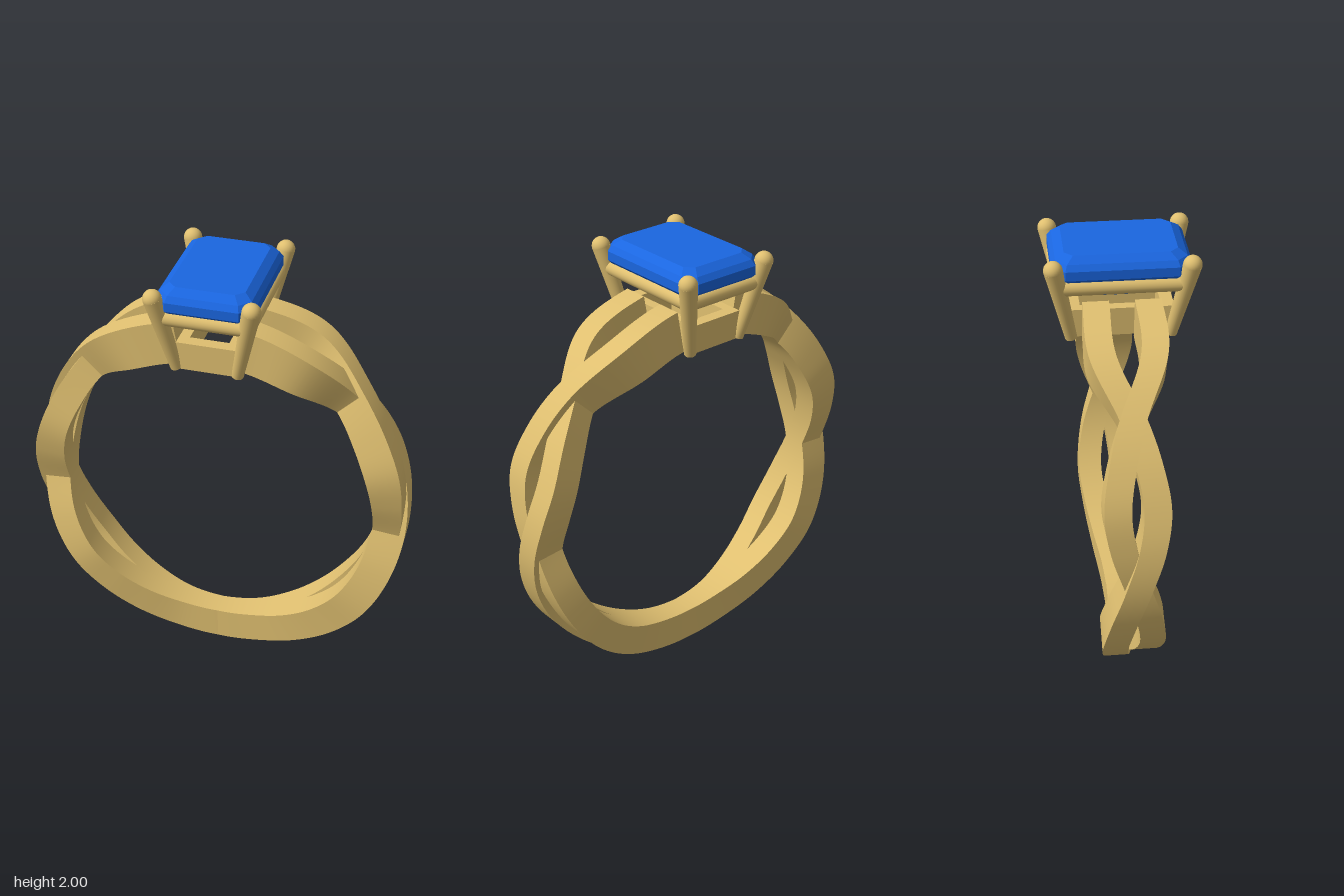
import * as THREE from 'three';
import { toCreasedNormals } from 'three/addons/utils/BufferGeometryUtils.js';
import { ConvexGeometry } from 'three/addons/geometries/ConvexGeometry.js';

const gold = new THREE.MeshStandardMaterial({ color: 0xdfbf70 });
const blue = new THREE.MeshStandardMaterial({ color: 0x1a66e0 });

function add(parent, name, geometry, material = gold) {
  const mesh = new THREE.Mesh(geometry, material);
  mesh.name = name;
  parent.add(mesh);
  return mesh;
}

// Half-band stations from shoulder to bottom:
// angle (deg), side offset, inner radius, outer radius, dip of first strand, dip of second strand
const stations = [
  [80, 0.11, 0.74, 0.933, 0, 0],
  [62, 0.106, 0.745, 0.935, 0, -0.015],
  [45, 0, 0.75, 0.906, 0, -0.03],
  [32, -0.056, 0.735, 0.89, 0, -0.03],
  [20, -0.082, 0.728, 0.88, 0, -0.025],
  [8, -0.057, 0.722, 0.872, -0.015, -0.01],
  [-5, 0, 0.72, 0.868, -0.025, 0],
  [-19, 0.055, 0.718, 0.868, -0.025, 0],
  [-34, 0.082, 0.716, 0.87, -0.025, 0],
  [-48, 0.066, 0.715, 0.87, -0.02, 0],
  [-62, 0.038, 0.715, 0.87, -0.012, 0],
  [-76, 0.01, 0.715, 0.87, -0.004, 0],
  [-90, 0, 0.715, 0.87, 0, 0],
];

// Rectangular section swept round the finger, weaving from side to side
function strandGeometry(side) {
  const halfWidth = 0.056, steps = 120, centreY = 0.87;
  const spline = (f) => new THREE.CatmullRomCurve3(
    stations.map((s) => new THREE.Vector3(...f(s))), false, 'catmullrom', 0.5);
  const path = spline((s) => [s[0], s[1] * side, 0]);
  const radii = spline((s) => [s[2], s[3] + (side < 0 ? s[4] : s[5]), 0]);
  const pos = [], index = [];
  for (let i = 0; i <= steps; i++) {
    const p = path.getPoint(i / steps), r = radii.getPoint(i / steps);
    const a = THREE.MathUtils.degToRad(p.x);
    for (const [rad, w] of [[r.x, -1], [r.y, -1], [r.y, 1], [r.x, 1]]) {
      pos.push(rad * Math.cos(a), centreY + rad * Math.sin(a), p.y + w * halfWidth);
    }
    if (i === steps) break;
    for (let k = 0; k < 4; k++) {
      const m = i * 4 + k, n = i * 4 + (k + 1) % 4;
      index.push(m, n, n + 4, m, n + 4, m + 4);
    }
  }
  index.push(0, 2, 1, 0, 3, 2);
  const g = new THREE.BufferGeometry();
  g.setAttribute('position', new THREE.Float32BufferAttribute(pos, 3));
  g.setIndex(index);
  return toCreasedNormals(g, 0.6);
}

// Round bar between two points
function bar(parent, name, a, b, rA, rB) {
  const dir = b.clone().sub(a);
  const mesh = add(parent, name, new THREE.CylinderGeometry(rB, rA, dir.length(), 24));
  mesh.position.copy(a).addScaledVector(dir, 0.5);
  mesh.quaternion.setFromUnitVectors(new THREE.Vector3(0, 1, 0), dir.normalize());
}

function rectangle(target, hx, hz) {
  target.moveTo(-hx, -hz).lineTo(hx, -hz).lineTo(hx, hz).lineTo(-hx, hz).closePath();
  return target;
}

export function createModel() {
  const ring = new THREE.Group();
  ring.name = 'ring';

  // Woven band: the left half is the right half turned about the vertical
  const band = new THREE.Group();
  band.name = 'band';
  ring.add(band);
  for (const side of [-1, 1]) {
    const g = strandGeometry(side);
    add(band, 'bandStrand', g);
    add(band, 'bandStrand', g).rotation.y = Math.PI;
  }

  const setting = new THREE.Group();
  setting.name = 'setting';
  ring.add(setting);

  // Open base frame, crowned to follow the finger
  const frame = rectangle(new THREE.Shape(), 0.13, 0.225);
  frame.holes.push(rectangle(new THREE.Path(), 0.085, 0.17));
  const base = new THREE.ExtrudeGeometry(frame, { depth: 0.125, bevelEnabled: false });
  base.rotateX(-Math.PI / 2).translate(0, 1.61, 0);
  add(setting, 'baseFrame', base);

  // Prongs with rounded tips
  for (const x of [-1, 1]) for (const z of [-1, 1]) {
    const tip = new THREE.Vector3(x * 0.207, 1.96, z * 0.285);
    bar(setting, 'prong', new THREE.Vector3(x * 0.133, 1.61, z * 0.212), tip, 0.026, 0.04);
    add(setting, 'prongTip', new THREE.SphereGeometry(0.04, 24, 16)).position.copy(tip);
  }

  // Gallery rail joining the prongs
  const corners = [[1, 1], [-1, 1], [-1, -1], [1, -1]].map(
    ([x, z]) => new THREE.Vector3(x * 0.183, 1.867, z * 0.26));
  corners.forEach((c, i) => bar(setting, 'galleryRail', c, corners[(i + 1) % 4], 0.034, 0.034));

  // Step-cut stone: height, half width, half length, corner cut
  const points = [];
  for (const [y, hx, hz, c] of [
    [2, 0.16, 0.235, 0.035], [1.975, 0.193, 0.272, 0.045], [1.95, 0.21, 0.29, 0.055],
    [1.91, 0.21, 0.29, 0.055], [1.83, 0.145, 0.21, 0.035], [1.74, 0.015, 0.075, 0.008],
  ]) {
    for (const x of [-1, 1]) for (const z of [-1, 1]) {
      points.push(new THREE.Vector3(x * hx, y, z * (hz - c)), new THREE.Vector3(x * (hx - c), y, z * hz));
    }
  }
  add(ring, 'stone', new ConvexGeometry(points), blue);

  return ring;
}
